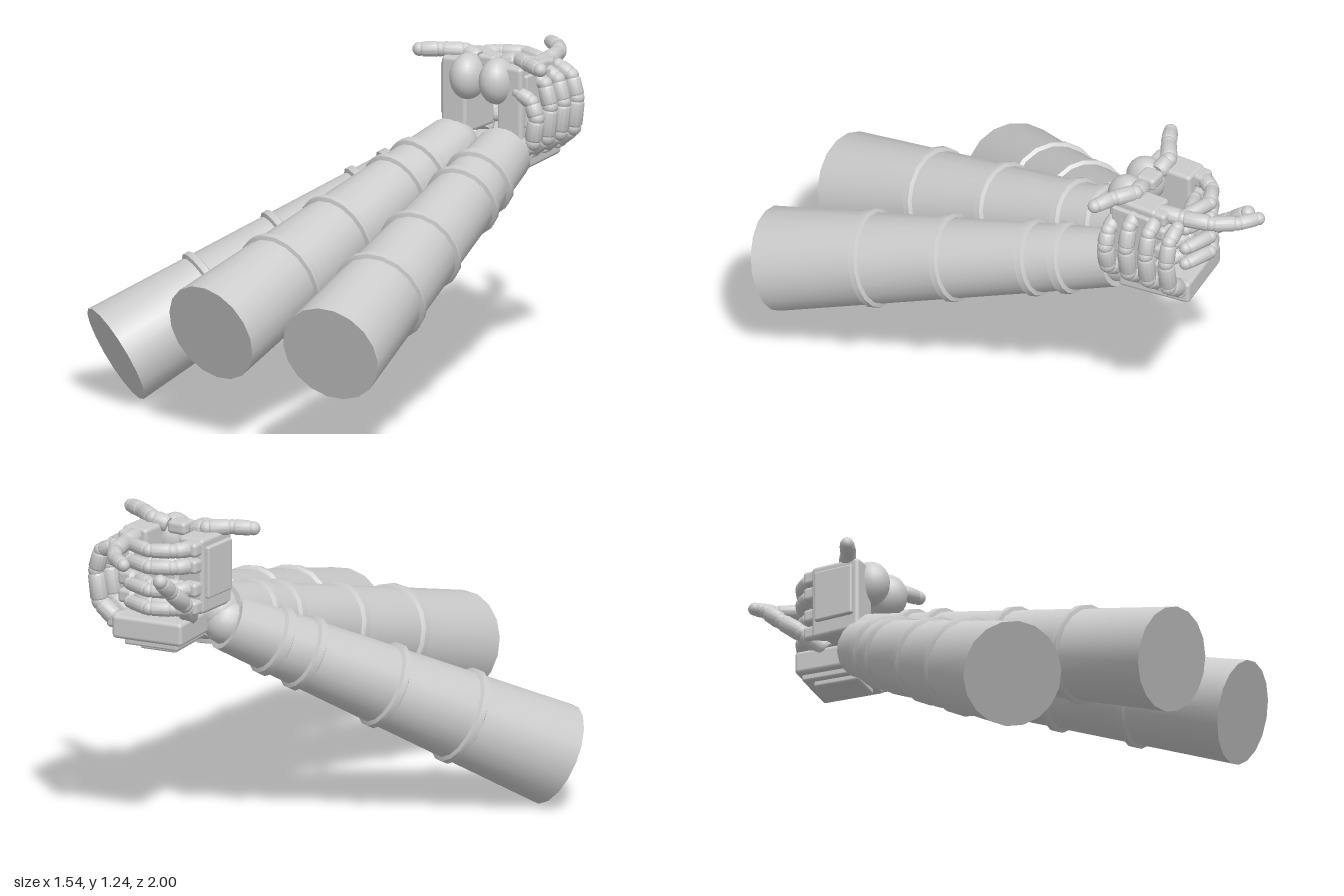
import * as THREE from 'three';
import { toCreasedNormals } from 'three/addons/utils/BufferGeometryUtils.js';
import { RoundedBoxGeometry } from 'three/addons/geometries/RoundedBoxGeometry.js';

const mat = new THREE.MeshStandardMaterial({ color: 0xcccccc });
const UP = new THREE.Vector3(0, 1, 0);
const MID = 0.304; // mirror plane of the two front arms

function add(parent, name, geo, pos = [0, 0, 0], rot = [0, 0, 0]) {
  const m = new THREE.Mesh(geo, mat);
  m.name = name;
  m.position.set(...pos);
  m.rotation.set(...rot);
  parent.add(m);
  return m;
}

const box = (w, h, d, r = 0.015) => new RoundedBoxGeometry(w, h, d, 2, r);

// Tapered forearm with raised bands, turned round its own axis
function armGeometry(length) {
  const radius = t => (t < 0.77 ? 0.197 - 0.066 * (t / 0.77) : 0.131 - 0.021 * ((t - 0.77) / 0.23));
  const pts = [new THREE.Vector2(0, 0), new THREE.Vector2(0.197, 0)];
  for (const [t, w] of [[0.29, 0.026], [0.52, 0.026], [0.765, 0.028], [0.86, 0.032]]) {
    const a = t - w / 2, b = t + w / 2, e = 0.005, lift = 0.014;
    for (const [s, d] of [[a, 0], [a + e, lift], [b - e, lift], [b, 0]]) {
      pts.push(new THREE.Vector2(radius(s) + d, s * length));
    }
  }
  pts.push(new THREE.Vector2(0.11, length), new THREE.Vector2(0, length));
  return toCreasedNormals(new THREE.LatheGeometry(pts, 18), 0.5);
}

function addArm(parent, name, base, tip) {
  const a = new THREE.Vector3(...base), dir = new THREE.Vector3(...tip).sub(a);
  const arm = add(parent, name, armGeometry(dir.length()), base);
  arm.quaternion.setFromUnitVectors(UP, dir.normalize());
  const wrist = add(parent, name + 'Wrist', new THREE.SphereGeometry(0.09, 16, 12), tip);
  wrist.quaternion.copy(arm.quaternion);
}

// Jointed finger: one tapered link per span, a ball at each joint
function addFinger(parent, name, points, r) {
  const finger = new THREE.Group();
  finger.name = name;
  const p = points.map(q => new THREE.Vector3(...q));
  for (let i = 0; i < p.length - 1; i++) {
    const d = p[i + 1].clone().sub(p[i]), len = d.length();
    const k = r * (1 - 0.06 * i);
    const inset = 0.18 * k;
    const h = len - inset * 2;
    const profile = [[0, -h / 2], [k * 0.8, -h / 2], [k, -h / 2 + k * 0.3],
      [k * 0.95, h / 2 - k * 0.3], [k * 0.75, h / 2], [0, h / 2]];
    const geo = new THREE.LatheGeometry(profile.map(q => new THREE.Vector2(...q)), 12);
    const link = add(finger, 'fingerLink', toCreasedNormals(geo, 0.7));
    link.position.copy(p[i]).lerp(p[i + 1], 0.5);
    link.quaternion.setFromUnitVectors(UP, d.normalize());
    add(finger, 'fingerJoint', new THREE.SphereGeometry(k * 0.88, 12, 8), p[i + 1].toArray());
  }
  parent.add(finger);
}

// Upright hand of a front arm: side s = -1 or +1 of the mirror plane
function addUprightHand(parent, s) {
  const hand = new THREE.Group();
  hand.name = s > 0 ? 'leftHand' : 'rightHand';
  const x = d => MID + s * d;

  add(hand, 'palm', box(0.11, 0.29, 0.2), [x(0.125), 1.055, -0.55]);
  add(hand, 'backPlate', box(0.025, 0.2, 0.16, 0.008), [x(0.183), 1.07, -0.55]);
  const ball = add(hand, 'thumbMound', new THREE.SphereGeometry(1, 20, 14), [x(0.066), 1.135, -0.465]);
  ball.scale.set(0.066, 0.088, 0.08);

  // Thumb rises from the mound and lies outwards
  addFinger(hand, 'thumb', [[x(0.05), 1.19, -0.52], [x(0.12), 1.21, -0.53],
    [x(0.2), 1.215, -0.48], [x(0.272), 1.212, -0.445]], 0.034);

  // Knuckles and folded fingers behind the palm
  [1.165, 1.1, 1.01, 0.94].forEach((y, i) => {
    add(hand, 'knuckle', box(0.07, 0.055, 0.06), [x(0.14), y, -0.66]);
    if (i === 0 && s > 0) return;
    const z = s > 0 ? -0.7 : -0.77;
    addFinger(hand, 'foldedFinger', [[x(0.14), y, -0.67], [x(0.1), y, z + 0.04],
      [x(0.02), y, z], [x(-0.09), y, z + 0.04]], 0.031);
  });
  parent.add(hand);
}

// Hand of the side arm: palm below, fingers wrapped up round the outside
function addCradlingHand(parent) {
  const hand = new THREE.Group();
  hand.name = 'cradlingHand';
  const turn = [0, 0.12, 0];
  add(hand, 'palm', box(0.29, 0.09, 0.29), [0.32, 0.845, -0.615], turn);
  add(hand, 'palmPlate', box(0.22, 0.035, 0.24, 0.008), [0.31, 0.795, -0.62], turn);
  add(hand, 'palmPlate', box(0.15, 0.025, 0.18, 0.008), [0.3, 0.77, -0.61], turn);

  [[-0.47, -0.05], [-0.56, 0], [-0.645, 0], [-0.735, -0.005]].forEach(([z, drop]) => {
    add(hand, 'knuckle', box(0.06, 0.06, 0.06), [0.45, 0.865, z]);
    addFinger(hand, 'wrappedFinger', [[0.45, 0.865, z], [0.525, 0.92, z],
      [0.542, 1.04 + drop * 0.5, z], [0.52, 1.125 + drop, z], [0.46, 1.155 + drop, z]], 0.036);
  });

  // Thumb pointing up and back
  addFinger(hand, 'thumb', [[0.2, 0.88, -0.62], [0.165, 0.96, -0.71],
    [0.168, 1.03, -0.8], [0.17, 1.085, -0.865]], 0.036);
  parent.add(hand);
}

export function createModel() {
  const model = new THREE.Group();
  model.name = 'joinedArms';

  // Two mirrored front arms and their hands
  for (const s of [1, -1]) {
    addArm(model, s > 0 ? 'leftArm' : 'rightArm',
      [MID + s * 0.269, 0.426, 0.938], [MID + s * 0.112, 0.87, -0.44]);
    addUprightHand(model, s);
  }

  // Pointing finger of the left hand
  addFinger(model, 'pointingFinger', [[0.43, 1.165, -0.62], [0.415, 1.165, -0.73],
    [0.39, 1.165, -0.84], [0.335, 1.162, -0.92], [0.265, 1.16, -0.97]], 0.034);
  // Small bridge between the thumbs
  add(model, 'thumbBridge', box(0.08, 0.05, 0.08), [MID, 1.195, -0.52]);

  // Lower arm reaching in from the side
  addArm(model, 'sideArm', [-0.608, 0.178, 0.62], [0.155, 0.83, -0.44]);
  addCradlingHand(model);
  return model;
}
